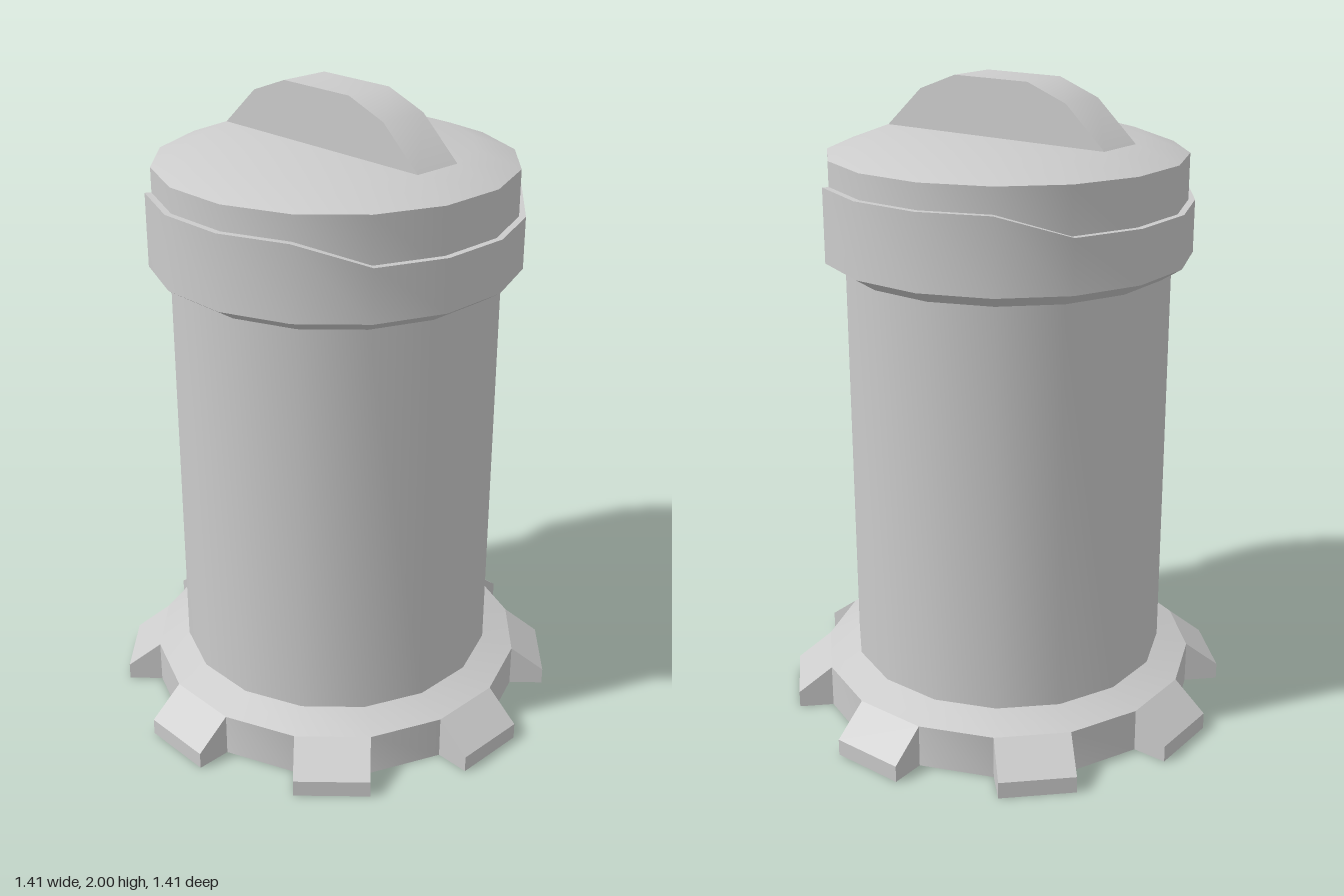
import * as THREE from 'three';
import { toCreasedNormals } from 'three/addons/utils/BufferGeometryUtils.js';

const SIDES = 16;
const STEP = (Math.PI * 2) / SIDES;
const CREASE = 0.6;

export function createModel() {
  const model = new THREE.Group();
  const material = new THREE.MeshStandardMaterial({ color: 0xcccccc });

  const addPart = (name, geometry, parent = model) => {
    const mesh = new THREE.Mesh(toCreasedNormals(geometry, CREASE), material);
    mesh.name = name;
    parent.add(mesh);
    return mesh;
  };
  const turned = (points) =>
    new THREE.LatheGeometry(points.map(([r, y]) => new THREE.Vector2(r, y)), SIDES);
  // Side profile extruded to a width, centred on its own plane
  const slab = (points, width) => {
    const shape = new THREE.Shape(points.map(([x, y]) => new THREE.Vector2(x, y)));
    return new THREE.ExtrudeGeometry(shape, { depth: width, bevelEnabled: false })
      .translate(0, 0, -width / 2);
  };

  // Toothed base: a hub with a sloped tooth on every other side
  const base = new THREE.Group();
  base.name = 'toothedBase';
  model.add(base);
  const hubRadius = 0.6;
  addPart('baseHub', turned([[0, 0], [hubRadius, 0], [hubRadius, 0.137], [0.5, 0.175]]), base);
  const inner = hubRadius * Math.cos(STEP / 2);
  const outer = inner + 0.108;
  const toothWidth = 2 * hubRadius * Math.sin(STEP / 2);
  for (let i = 0; i < SIDES; i += 2) {
    const tooth = slab([[inner, 0], [outer, 0], [outer, 0.053], [inner, 0.137]], toothWidth);
    addPart('baseTooth', tooth.rotateY((i + 0.5) * STEP), base);
  }

  // Cylindrical body
  addPart('body', turned([[0.5, 0.175], [0.5, 1.44]]));

  // Collar whose upper rim steps between two heights, twice around
  const collar = turned([[0.5, 1.44], [0.563, 1.48], [0.563, 1.7], [0.543, 1.7]]);
  const pos = collar.attributes.position;
  for (let i = 0; i < pos.count; i++) {
    if (pos.getY(i) < 1.6) continue;
    const k = Math.round(Math.atan2(-pos.getZ(i), pos.getX(i)) / STEP) + SIDES;
    pos.setY(i, (k + 1) % 8 < 4 ? 1.705 : 1.64);
  }
  addPart('collar', collar);

  // Lid with a shallow bevelled top
  addPart('lid', turned([[0.543, 1.6], [0.543, 1.78], [0.41, 1.83], [0, 1.83]]));

  // Arched grip across the lid, joining two opposite sides of its flat top
  const gripRadius = 0.41;
  const half = gripRadius * Math.cos(STEP / 2);
  const grip = slab([
    [-half, 1.829], [half, 1.829], [half * 0.667, 1.95],
    [half * 0.333, 2], [-half * 0.333, 2], [-half * 0.667, 1.95],
  ], 2 * gripRadius * Math.sin(STEP / 2));
  addPart('lidGrip', grip.rotateY(-3.5 * STEP));

  return model;
}
